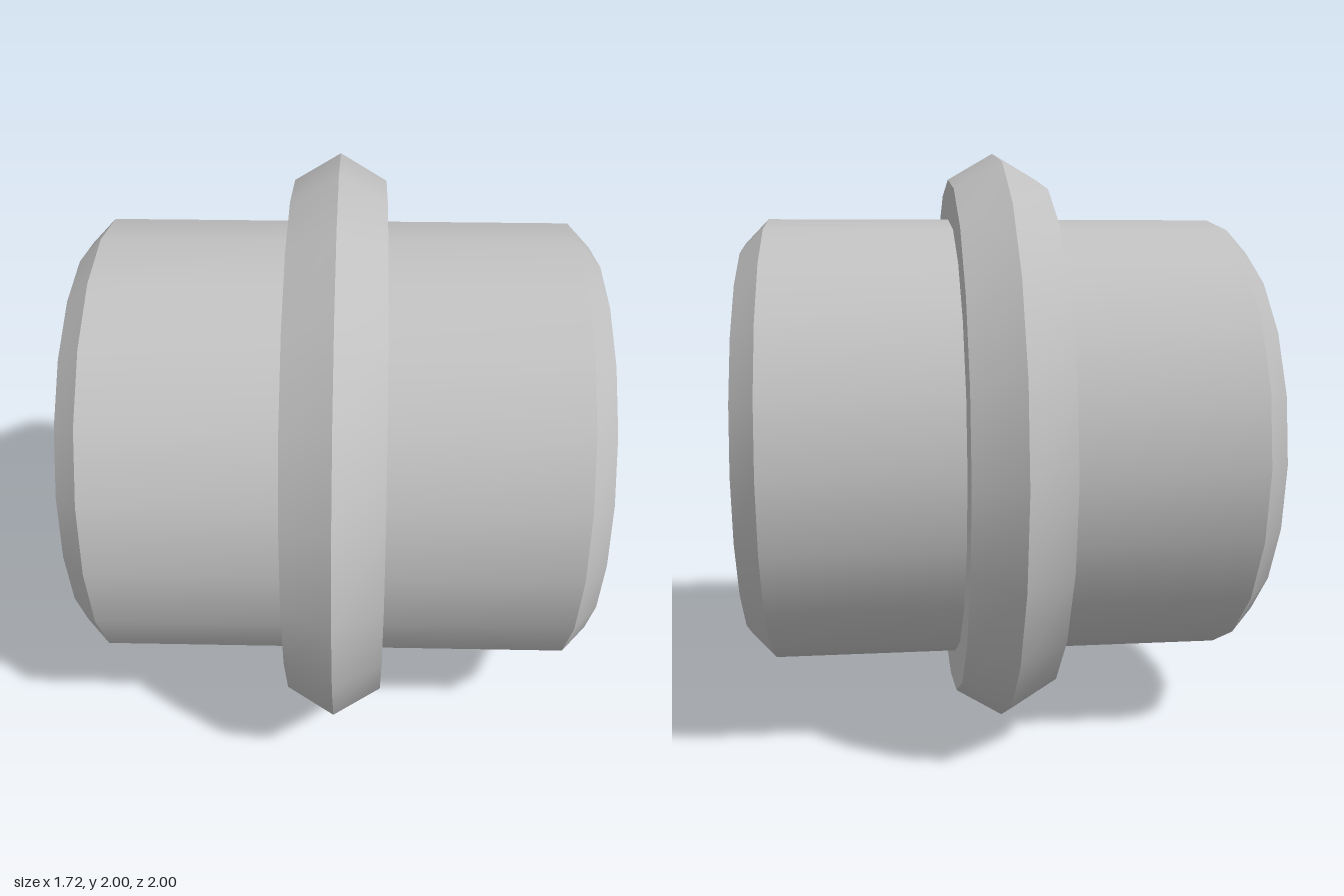
import * as THREE from 'three';
import { toCreasedNormals } from 'three/addons/utils/BufferGeometryUtils.js';

const SIDES = 20;

// Revolve half a profile of [radius, x], mirrored about x = 0, around the x axis
function revolve(name, half, material) {
  const mirrored = half.filter(([, x]) => x !== 0).map(([r, x]) => [r, -x]).reverse();
  const points = [...half, ...mirrored].map(([r, x]) => new THREE.Vector2(r, x));
  const lathe = new THREE.LatheGeometry(points, SIDES).rotateZ(-Math.PI / 2);
  // Smooth around the sides, sharp at the chamfers and ridge
  const mesh = new THREE.Mesh(toCreasedNormals(lathe, THREE.MathUtils.degToRad(25)), material);
  mesh.name = name;
  mesh.position.y = 1;
  return mesh;
}

export function createModel() {
  const group = new THREE.Group();
  group.name = 'collaredPin';
  const grey = new THREE.MeshStandardMaterial({ color: 0xc0c0c0 });
  grey.name = 'light grey';

  // Solid round body with chamfered ends
  group.add(revolve('body', [[0, -0.86], [0.69, -0.86], [0.772, -0.78]], grey));

  // Collar around the middle, rising to a ridge
  group.add(revolve('collar', [[0.74, -0.156], [0.91, -0.156], [1, 0]], grey));

  return group;
}
